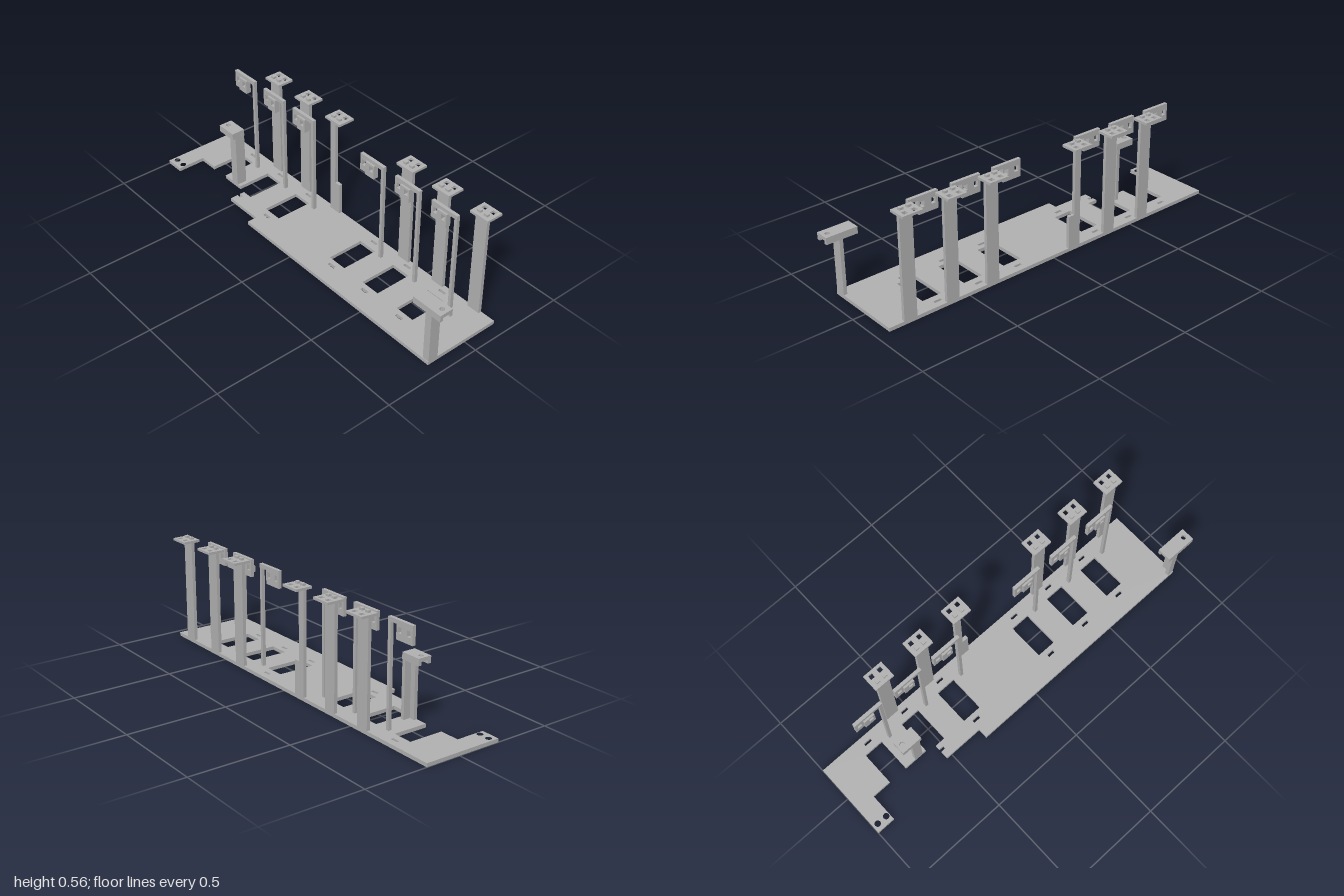
import * as THREE from 'three';

const metal = new THREE.MeshStandardMaterial({ color: 0xb0b0b0 });
metal.name = 'grey metal';

function rectPath(x0, y0, x1, y1, C = THREE.Path) {
  return new C([[x0, y0], [x1, y0], [x1, y1], [x0, y1]].map(p => new THREE.Vector2(...p)));
}
function circlePath(x, y, r) {
  const p = new THREE.Path();
  p.absarc(x, y, r, 0, Math.PI * 2, true);
  return p;
}
function extrude(shape, holes, depth) {
  shape.holes.push(...holes);
  return new THREE.ExtrudeGeometry(shape, { depth, bevelEnabled: false, curveSegments: 10 });
}
// Horizontal plate: shapes are drawn in (x, -z) and laid flat with the underside at y
function flat(shape, holes, y, depth) {
  return extrude(shape, holes, depth).rotateX(-Math.PI / 2).translate(0, y, 0);
}

export function createModel() {
  const model = new THREE.Group();
  model.name = 'bracketFrame';

  const add = (name, geometry, parent = model) => {
    const m = new THREE.Mesh(geometry, metal);
    m.name = name;
    parent.add(m);
    return m;
  };
  const box = (name, x0, x1, y0, y1, z0, z1, parent) =>
    add(name, new THREE.BoxGeometry(x1 - x0, y1 - y0, z1 - z0)
      .translate((x0 + x1) / 2, (y0 + y1) / 2, (z0 + z1) / 2), parent);
  const group = name => {
    const g = new THREE.Group();
    g.name = name;
    model.add(g);
    return g;
  };
  const T = 0.018;

  // Base plate with stepped front edge and two open bays on the -x side
  const outline = [
    [-1, -0.18], [0.935, -0.18], [0.935, 0.22], [-0.325, 0.22], [-0.325, 0.17], [-0.53, 0.17],
    [-0.53, 0.13], [-0.505, 0.13], [-0.505, 0.115], [-0.53, 0.115], [-0.53, 0.09], [-0.475, 0.09],
    [-0.475, -0.1], [-0.58, -0.1], [-0.58, 0.075], [-0.705, 0.075], [-0.705, -0.1], [-0.805, -0.1],
    [-0.805, 0.075], [-0.905, 0.075], [-0.905, 0.22], [-1, 0.22],
  ].map(([x, z]) => new THREE.Vector2(x, -z));
  const hooks = [-0.805, -0.575, -0.35, 0.14, 0.37, 0.6];
  const baseHoles = [circlePath(-0.975, -0.187, 0.015), circlePath(-0.923, -0.187, 0.015)];
  hooks.forEach((x, i) => {
    baseHoles.push(rectPath(x + 0.03, 0.134, x + 0.07, 0.148));
    if (i > 1) {
      baseHoles.push(rectPath(x, -0.09, x + 0.102, 0.1));
      baseHoles.push(rectPath(x + 0.03, -0.13, x + 0.07, -0.115));
    }
  });
  add('basePlate', flat(new THREE.Shape(outline), baseHoles, 0, T));

  // Thin posts carrying a side arm and a pierced hanging tab
  for (const x of hooks) {
    const g = group('hookBracket');
    box('hookPost', x + 0.139, x + 0.155, T, 0.533, -0.104, -0.087, g);
    box('hookArm', x + 0.102, x + 0.139, 0.513, 0.533, -0.104, -0.087, g);
    const holes = [0.024, 0.082].map(c => rectPath(x + c - 0.011, 0.476, x + c + 0.011, 0.504));
    add('hookTab', extrude(rectPath(x, 0.445, x + 0.102, 0.533, THREE.Shape), [holes[0], holes[1]], 0.017)
      .translate(0, 0, -0.104), g);
    add('hookPad', extrude(rectPath(x + 0.045, 0.445, x + 0.102, 0.515, THREE.Shape), [holes[1]], 0.01)
      .translate(0, 0, -0.087), g);
  }

  // Tall rear posts with pierced top plates held by two tenons
  for (const cx of [-0.58, -0.352, -0.125, 0.367, 0.593, 0.822]) {
    const g = group('rearSupport');
    if (cx === -0.125) {
      box('rearPostFoot', cx - 0.034, cx + 0.034, T, 0.185, -0.18, -0.163, g);
      box('rearPost', cx - 0.034, cx + 0.002, 0.185, 0.537, -0.18, -0.163, g);
    } else {
      box('rearPost', cx - 0.034, cx + 0.034, T, 0.537, -0.18, -0.163, g);
    }
    const holes = [-0.024, 0.024].map(d => rectPath(cx + d - 0.011, 0.196, cx + d + 0.011, 0.219));
    add('topPlate', flat(rectPath(cx - 0.052, 0.145, cx + 0.052, 0.232, THREE.Shape), holes, 0.537, 0.012), g);
    for (const d of [-0.02, 0.02])
      box('tenon', cx + d - 0.01, cx + d + 0.01, 0.549, 0.56, -0.18, -0.163, g);
  }

  // Short angle posts with flanged caps
  const capBracket = (name, px0, px1, cx0, cx1, z, holeX, holeZ) => {
    const g = group(name);
    box('angleSide', px1 - T, px1, T, 0.312, z, z + 0.053, g);
    box('angleFront', px0, px1 - T, T, 0.312, z + 0.035, z + 0.053, g);
    add('capTop', flat(rectPath(cx0, -z - 0.07, cx1, -z, THREE.Shape),
      [circlePath(holeX, -holeZ, 0.012)], 0.312, 0.018), g);
    box('capFrontFlange', cx0, cx1, 0.296, 0.312, z + 0.053, z + 0.07, g);
    box('capBackFlange', cx0, cx1, 0.296, 0.312, z, z + 0.015, g);
  };
  capBracket('leftCapBracket', 0.9, 0.935, 0.84, 1, 0.164, 0.972, 0.197);
  capBracket('rightCapBracket', -0.645, -0.6, -0.705, -0.598, 0.023, -0.68, 0.058);

  return model;
}
